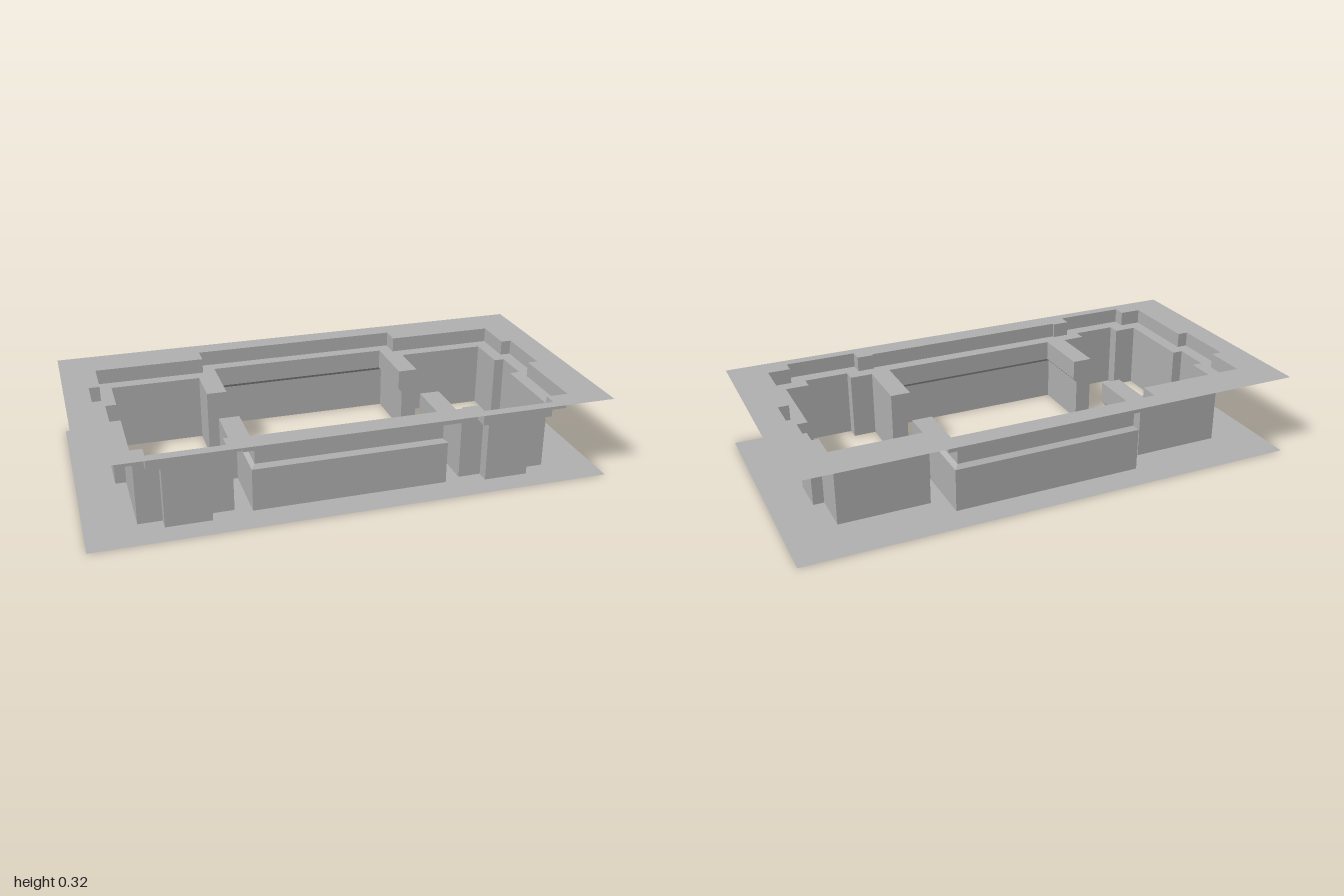
import * as THREE from 'three';

const SHIFT = -0.004; // the recess sits a touch off the plate centre
const TOP = 0.325, LEDGE = 0.265;

// mirror a right-hand half outline [x, z] (back to front) into a closed loop
function mirrorLoop(half) {
  const left = half.map(([x, z]) => [-x, z]).reverse();
  return [...half, ...left].map(([x, z]) => [x + SHIFT, z]);
}

// room outline; h is the half width, b / f the back / front of the middle bay
const roomLoop = (h, b, f) => mirrorLoop([
  [h, b], [h, -0.121], [0.446, -0.121], [0.446, -0.291], [0.803, -0.291], [0.803, -0.121],
  [0.845, -0.121], [0.845, 0.027], [0.803, 0.027], [0.803, 0.354], [0.711, 0.354], [0.711, 0.404],
  [0.536, 0.404], [0.536, 0.354], [0.446, 0.354], [0.446, 0.117], [h, 0.117], [h, f],
]);

const rimLoop = mirrorLoop([
  [0.42, -0.42], [0.42, -0.344], [0.856, -0.344], [0.856, -0.174], [0.898, -0.174], [0.898, 0.075],
  [0.856, 0.075], [0.856, 0.406], [0.768, 0.406], [0.768, 0.459], [0.487, 0.459], [0.487, 0.406],
  [0.42, 0.406], [0.42, 0.416],
]);

const plateLoop = [[-1, -0.5], [1, -0.5], [1, 0.5], [-1, 0.5]];

// flat sheet with one hole at height y
function sheet(outer, hole, y) {
  const pts = (loop) => loop.map(([x, z]) => new THREE.Vector2(x, -z));
  const shape = new THREE.Shape(pts(outer));
  shape.holes.push(new THREE.Path(pts(hole)));
  return new THREE.ShapeGeometry(shape).rotateX(-Math.PI / 2).translate(0, y, 0);
}

// walls through a stack of matching loops, each level being [loop, y]
function walls(levels) {
  const pos = [];
  for (let k = 0; k < levels.length - 1; k++) {
    const [lo, y0] = levels[k], [hi, y1] = levels[k + 1];
    for (let i = 0; i < lo.length; i++) {
      const j = (i + 1) % lo.length;
      const a = [lo[i][0], y0, lo[i][1]], b = [lo[j][0], y0, lo[j][1]];
      const c = [hi[j][0], y1, hi[j][1]], d = [hi[i][0], y1, hi[i][1]];
      pos.push(...a, ...b, ...c, ...a, ...c, ...d);
    }
  }
  const g = new THREE.BufferGeometry();
  g.setAttribute('position', new THREE.Float32BufferAttribute(pos, 3));
  g.computeVertexNormals();
  return g;
}

export function createModel() {
  const group = new THREE.Group();
  const grey = new THREE.MeshStandardMaterial({ color: 0xb2b2b2, side: THREE.DoubleSide });
  grey.name = 'plain grey';

  const upper = roomLoop(0.367, -0.369, 0.364);
  const lower = roomLoop(0.382, -0.384, 0.379); // middle bay widens below the chamfer

  const add = (name, geometry) => {
    const mesh = new THREE.Mesh(geometry, grey);
    mesh.name = name;
    group.add(mesh);
  };

  add('bottomPlate', sheet(plateLoop, lower, 0));
  add('roomWalls', walls([[lower, 0], [lower, 0.17], [upper, 0.185], [upper, LEDGE]]));
  add('ledge', sheet(rimLoop, upper, LEDGE));
  add('rimWalls', walls([[rimLoop, LEDGE], [rimLoop, TOP]]));
  add('topPlate', sheet(plateLoop, rimLoop, TOP));
  return group;
}
